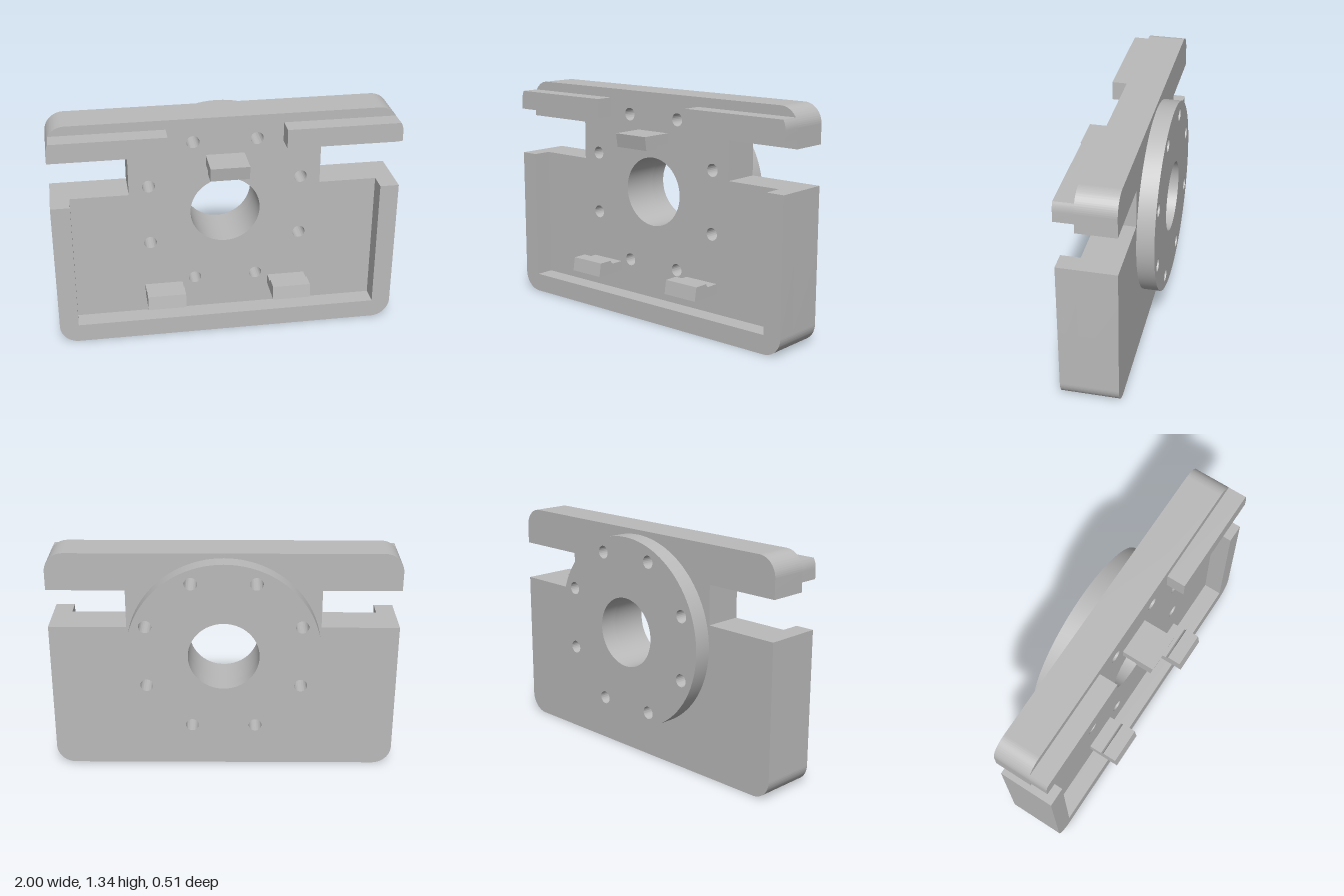
import * as THREE from 'three';
import { toCreasedNormals } from 'three/addons/utils/BufferGeometryUtils.js';

const W = 1, H = 1.335, R = 0.11, CY = 0.753;   // half width, height, corner radius, hub centre
const BACK = -0.155, FACE = 0.065, RIM = 0.175; // depths of the plate and rim

export function createModel() {
  const group = new THREE.Group();
  const grey = new THREE.MeshStandardMaterial({ color: 0xbababa });

  // Extrude a shape between two depths, smooth on the curves
  function slab(name, shape, z0, z1) {
    const geo = new THREE.ExtrudeGeometry(shape, { depth: z1 - z0, bevelEnabled: false, curveSegments: 48 });
    geo.translate(0, 0, z0);
    const mesh = new THREE.Mesh(toCreasedNormals(geo, 0.5), grey);
    mesh.name = name;
    group.add(mesh);
    return mesh;
  }

  function addHole(shape, x, y, r) {
    shape.holes.push(new THREE.Path().absarc(x, y, r, 0, Math.PI * 2, true));
  }

  // Central bore and ring of eight screw holes
  function addBores(shape) {
    addHole(shape, 0, CY, 0.203);
    for (let i = 0; i < 8; i++) {
      const a = (i + 0.5) * Math.PI / 4;
      addHole(shape, 0.477 * Math.cos(a), CY + 0.477 * Math.sin(a), 0.037);
    }
  }

  // Back plate with rounded corners and a slot in each side
  const plate = new THREE.Shape();
  plate.moveTo(-W + R, 0);
  plate.lineTo(W - R, 0);
  plate.absarc(W - R, R, R, -Math.PI / 2, 0, false);
  plate.lineTo(W, 0.89);
  plate.lineTo(0.555, 0.89);
  plate.lineTo(0.555, 1.115);
  plate.lineTo(W, 1.115);
  plate.absarc(W - R, H - R, R, 0, Math.PI / 2, false);
  plate.lineTo(-W + R, H);
  plate.absarc(-W + R, H - R, R, Math.PI / 2, Math.PI, false);
  plate.lineTo(-W, 1.115);
  plate.lineTo(-0.555, 1.115);
  plate.lineTo(-0.555, 0.89);
  plate.lineTo(-W, 0.89);
  plate.lineTo(-W, R);
  plate.absarc(-W + R, R, R, Math.PI, Math.PI * 1.5, false);
  addBores(plate);
  slab('backPlate', plate, BACK, FACE);

  // Raised rim along the sides and bottom
  const rim = new THREE.Shape();
  rim.moveTo(-W + R, 0);
  rim.lineTo(W - R, 0);
  rim.absarc(W - R, R, R, -Math.PI / 2, 0, false);
  rim.lineTo(W, 0.89);
  rim.lineTo(0.89, 0.89);
  rim.lineTo(0.89, 0.11);
  rim.lineTo(-0.89, 0.11);
  rim.lineTo(-0.89, 0.89);
  rim.lineTo(-W, 0.89);
  rim.lineTo(-W, R);
  rim.absarc(-W + R, R, R, Math.PI, Math.PI * 1.5, false);
  slab('rim', rim, FACE, RIM);

  // Round mounting flange on the back
  const flange = new THREE.Shape().absarc(0, CY, 0.555, 0, Math.PI * 2, false);
  addBores(flange);
  slab('mountingFlange', flange, -0.255, BACK);

  // Upper rails, following the corner curve at their outer ends
  const arcEnd = Math.asin((1.28 - (H - R)) / R);
  for (const s of [1, -1]) {
    const rail = new THREE.Shape();
    rail.moveTo(s * 0.335, 1.168);
    rail.lineTo(s * W, 1.168);
    rail.lineTo(s * W, H - R);
    for (let i = 1; i <= 6; i++) {
      const a = arcEnd * i / 6;
      rail.lineTo(s * (W - R + R * Math.cos(a)), H - R + R * Math.sin(a));
    }
    rail.lineTo(s * 0.335, 1.28);
    slab(s > 0 ? 'leftRail' : 'rightRail', rail, FACE, RIM);
  }

  // Hooked clips: profile of depth against height, extruded across x
  function clip(name, x, y, up) {
    const pts = [[FACE, 0.04], [0.258, 0.04], [0.245, -0.04], [0.16, -0.04],
      [0.153, -0.026], [0.143, -0.019], [FACE, -0.019]];
    const shape = new THREE.Shape(pts.map(([z, h]) => new THREE.Vector2(-z, h * up)));
    const mesh = slab(name, shape, -0.111, 0.111);
    mesh.rotation.y = Math.PI / 2;
    mesh.position.set(x, y, 0);
  }
  clip('topClip', 0, 1.07, 1);
  clip('lowerLeftClip', 0.369, 0.269, -1);
  clip('lowerRightClip', -0.369, 0.269, -1);

  return group;
}
